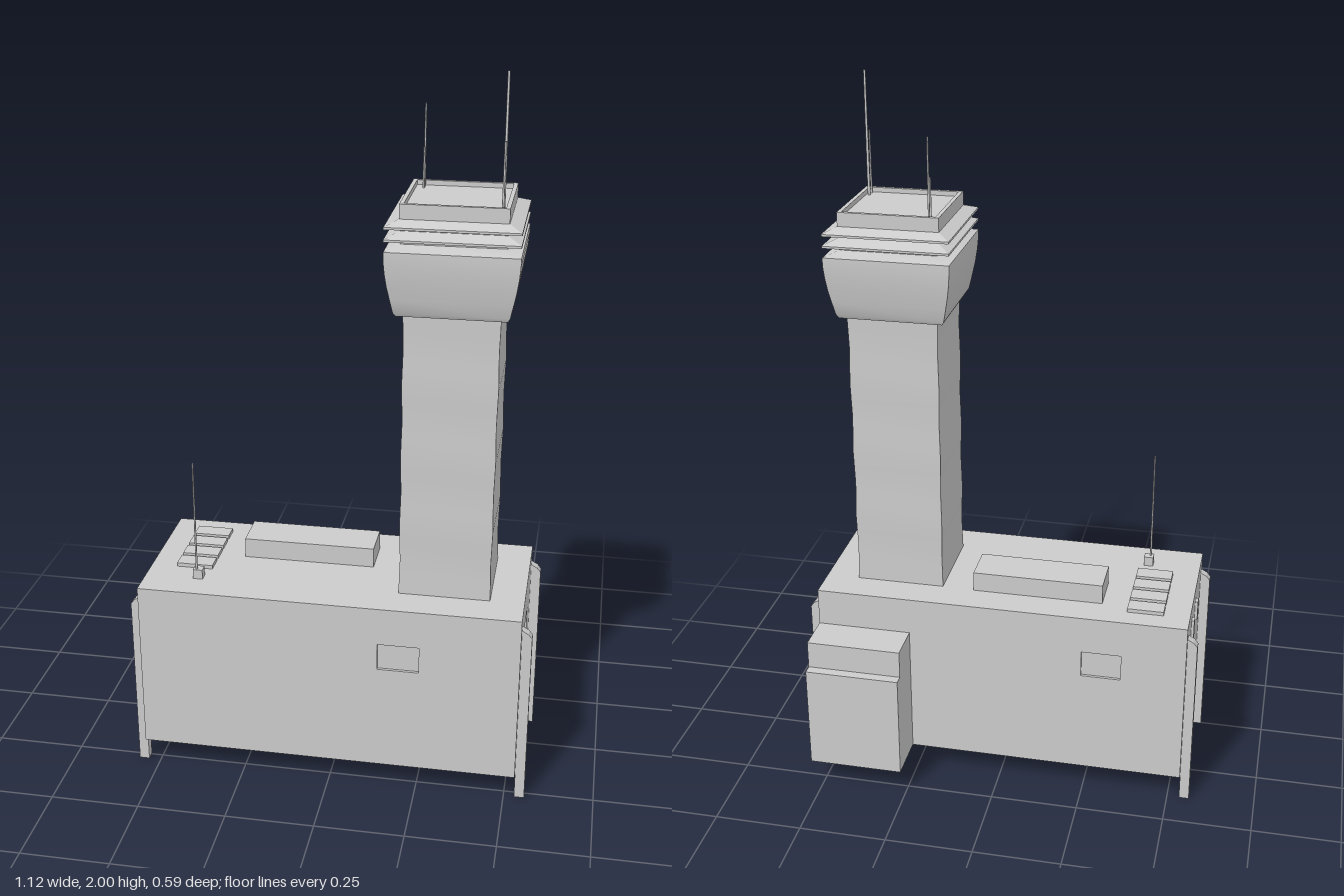
import * as THREE from 'three';
import { toCreasedNormals } from 'three/addons/utils/BufferGeometryUtils.js';

const grey = new THREE.MeshStandardMaterial({ color: 0xcccccc, side: THREE.DoubleSide });

// Base hall and tower extents
const X0 = -0.535, X1 = 0.53, Y0 = 0.08, Y1 = 0.575, Z0 = -0.155, Z1 = 0.295;
const TOWER_X = 0.309, TOWER_Z = 0.068;
const WALL = 0.01;

function add(parent, name, geometry) {
  const mesh = new THREE.Mesh(geometry, grey);
  mesh.name = name;
  parent.add(mesh);
  return mesh;
}

// Box given by its limits on each axis
function block(parent, name, [x0, x1], [y0, y1], [z0, z1]) {
  const mesh = add(parent, name, new THREE.BoxGeometry(x1 - x0, y1 - y0, z1 - z0));
  mesh.position.set((x0 + x1) / 2, (y0 + y1) / 2, (z0 + z1) / 2);
  return mesh;
}

// Square tower section: profile of [half width, height], swept round four sides
function squareLathe(profile) {
  const points = profile.map(([h, y]) => new THREE.Vector2(h * Math.SQRT2, y));
  return toCreasedNormals(new THREE.LatheGeometry(points, 4, Math.PI / 4), 0.5);
}

// Upright wall facing +z with an optional recessed window [u0, u1]
function wall(width, window) {
  const group = new THREE.Group();
  const shape = new THREE.Shape([
    new THREE.Vector2(-width / 2, Y0), new THREE.Vector2(width / 2, Y0),
    new THREE.Vector2(width / 2, Y1), new THREE.Vector2(-width / 2, Y1),
  ]);
  if (window) {
    const [a, b] = window, lo = 0.388, hi = 0.466;
    shape.holes.push(new THREE.Path([
      new THREE.Vector2(a, lo), new THREE.Vector2(a, hi),
      new THREE.Vector2(b, hi), new THREE.Vector2(b, lo),
    ]));
    block(group, 'windowPane', [a, b], [lo, hi], [-WALL, -WALL + 0.002]);
  }
  const panel = add(group, 'wallPanel', new THREE.ExtrudeGeometry(shape, { depth: WALL, bevelEnabled: false }));
  panel.position.z = -WALL;
  return group;
}

function buildHall() {
  const hall = new THREE.Group();
  hall.name = 'hall';
  const cx = (X0 + X1) / 2, cz = (Z0 + Z1) / 2, w = X1 - X0, d = Z1 - Z0;
  const walls = [
    ['frontWall', wall(w, [0.14 - cx, 0.255 - cx]), cx, Z1, 0],
    ['backWall', wall(w, [cx + 0.24, cx + 0.353]), cx, Z0, Math.PI],
    ['leftWall', wall(d, [cz - 0.132, cz - 0.015]), X1, cz, Math.PI / 2],
    ['rightWall', wall(d), X0, cz, -Math.PI / 2],
  ];
  for (const [name, group, x, z, turn] of walls) {
    group.name = name;
    group.position.set(x, 0, z);
    group.rotation.y = turn;
    hall.add(group);
  }
  block(hall, 'hallRoof', [X0, X1], [Y1 - WALL, Y1], [Z0, Z1]);

  // Small vents on the end wall
  for (const z of [-0.018, 0.092]) {
    block(hall, 'endVent', [X0 - 0.008, X0], [0.47, 0.53], [z - 0.012, z + 0.012]);
  }
  // Roof equipment
  block(hall, 'roofHousing', [-0.283, 0.091], [Y1, 0.632], [-0.062, 0.055]);
  for (let i = 0; i < 4; i++) {
    const z = -0.069 + i * 0.0638;
    block(hall, 'roofHatch', [-0.461, -0.358], [Y1, 0.586], [z - 0.025, z + 0.025]);
  }
  block(hall, 'mastFoot', [-0.397, -0.37], [Y1, 0.603], [0.185, 0.211]);
  return hall;
}

// Stepped annex on the back, open underneath like the hall
function buildAnnex() {
  const shape = new THREE.Shape([
    [0.155, 0.08], [0.295, 0.08], [0.295, 0.387], [0.267, 0.387], [0.267, 0.467], [0.155, 0.467],
  ].map(([u, v]) => new THREE.Vector2(u, v)));
  const annex = new THREE.Group();
  annex.name = 'annex';
  // Two end profiles
  for (const x of [0.26, X1]) {
    const end = add(annex, 'annexEnd', new THREE.ShapeGeometry(shape));
    end.rotation.y = Math.PI / 2;
    end.position.x = x;
  }
  // Back faces and ledges
  const t = 0.002;
  block(annex, 'annexLowerBack', [0.26, X1], [0.08, 0.387], [-0.295, -0.295 + t]);
  block(annex, 'annexLedge', [0.26, X1], [0.387 - t, 0.387], [-0.295, -0.267]);
  block(annex, 'annexUpperBack', [0.26, X1], [0.387 - t, 0.467], [-0.267, -0.267 + t]);
  block(annex, 'annexTop', [0.26, X1], [0.467 - t, 0.467], [-0.267, Z0]);
  return annex;
}

// Corner posts with a sloping head
function buildPosts(parent) {
  const profile = new THREE.Shape([[0, 0], [0.028, 0], [0.028, 0.512], [0.018, 0.525], [0, 0.535]]
    .map(([u, v]) => new THREE.Vector2(u, v)));
  const geometry = new THREE.ExtrudeGeometry(profile, { depth: 0.026, bevelEnabled: false });
  geometry.translate(0, 0, -0.013);
  for (const z of [-0.128, 0.259]) {
    add(parent, 'leftPost', geometry).position.set(X1, 0, z);
    const right = add(parent, 'rightPost', geometry);
    right.rotation.y = Math.PI;
    right.position.set(X0, 0, z);
  }
}

function buildTower() {
  const tower = new THREE.Group();
  tower.name = 'tower';
  tower.position.set(TOWER_X, 0, TOWER_Z);

  // Shaft of gently waisted storeys
  const shaft = [];
  for (let i = 0; i <= 16; i++) {
    const y = Y1 + (1.39 - Y1) * i / 16;
    shaft.push([0.1265 - 0.0025 * Math.sin(Math.PI * i / 4) ** 2, y]);
  }
  add(tower, 'shaft', squareLathe(shaft));

  // Control cab with flared sides and sloping top edge
  add(tower, 'cab', squareLathe([
    [0.12, 1.382], [0.143, 1.382], [0.149, 1.392], [0.157, 1.43], [0.164, 1.465],
    [0.169, 1.5], [0.172, 1.535], [0.172, 1.557], [0.135, 1.57],
  ]));

  // Overhanging eaves
  for (const y of [1.583, 1.615]) {
    add(tower, 'eave', squareLathe([[0.13, y], [0.172, y], [0.172, y + 0.006], [0.135, y + 0.021]]));
  }

  // Roof with a raised rim
  add(tower, 'roof', squareLathe([
    [0.135, 1.56], [0.135, 1.632], [0.138, 1.632], [0.138, 1.673], [0.127, 1.673], [0.127, 1.66], [0, 1.66],
  ]));
  return tower;
}

function buildAntennas(parent) {
  // x, z, bottom, top, radius
  const rods = [
    [0.427, 0.162, 1.66, 2.0, 0.004],
    [0.427, 0.186, 1.66, 1.835, 0.003],
    [0.203, -0.028, 1.66, 1.768, 0.003],
    [0.203, -0.045, 1.66, 1.878, 0.003],
    [-0.388, 0.202, 0.6, 0.925, 0.003],
  ];
  for (const [x, z, y0, y1, r] of rods) {
    const rod = add(parent, 'antenna', new THREE.CylinderGeometry(r * 0.8, r, y1 - y0, 8));
    rod.position.set(x, (y0 + y1) / 2, z);
  }
}

export function createModel() {
  const model = new THREE.Group();
  model.name = 'controlTower';
  model.add(buildHall(), buildAnnex(), buildTower());
  buildPosts(model);
  buildAntennas(model);
  return model;
}
